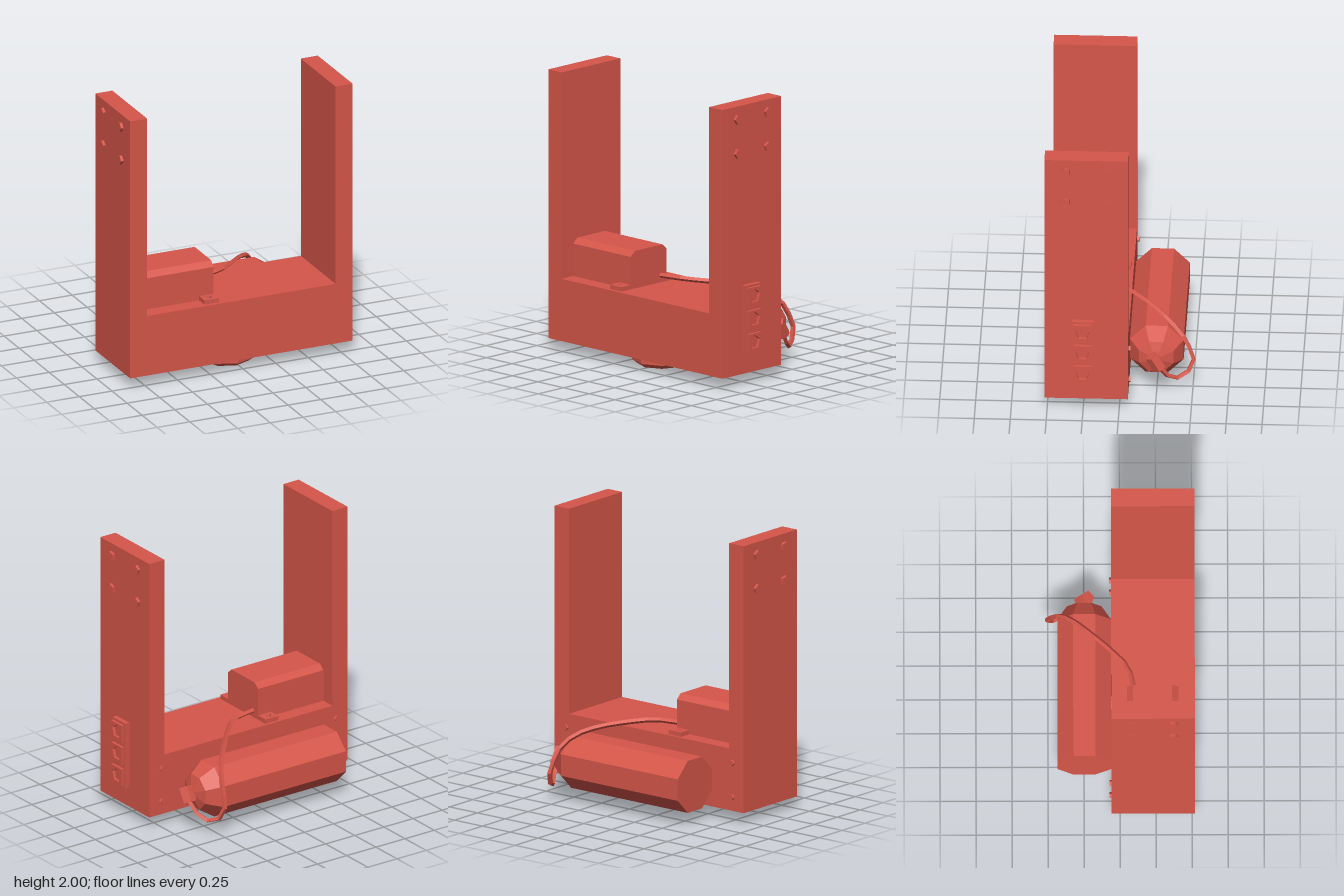
import * as THREE from 'three';

const red = new THREE.MeshStandardMaterial({ color: 0xd6564a });
red.name = 'red';

// Faceted normals for low-poly shapes
function flat(geometry) {
  const g = geometry.index ? geometry.toNonIndexed() : geometry;
  g.computeVertexNormals();
  return g;
}

export function createModel() {
  const model = new THREE.Group();
  model.name = 'bracketUnit';

  function add(name, geometry, x = 0, y = 0, z = 0) {
    const mesh = new THREE.Mesh(flat(geometry), red);
    mesh.name = name;
    mesh.position.set(x, y, z);
    model.add(mesh);
    return mesh;
  }

  // Small prism with its axis along x, y or z
  function stud(name, sides, radius, length, axis, x, y, z, start = 0) {
    const g = new THREE.CylinderGeometry(radius, radius, length, sides, 1, false, start);
    if (axis === 'x') g.rotateZ(-Math.PI / 2);
    if (axis === 'z') g.rotateX(Math.PI / 2);
    return add(name, g, x, y, z);
  }

  // U-shaped frame
  const outline = [[-0.87, 0.08], [0.83, 0.08], [0.83, 2], [0.7, 2],
    [0.7, 0.525], [-0.74, 0.525], [-0.74, 2], [-0.87, 2]];
  const frame = new THREE.Shape(outline.map(([x, y]) => new THREE.Vector2(x, y)));
  add('frame', new THREE.ExtrudeGeometry(frame, { depth: 0.58, bevelEnabled: false }), 0, 0, -0.06);

  // Pentagonal bolts near the tops of both arms
  for (const x of [-0.87, 0.83])
    for (const y of [1.665, 1.91]) {
      stud('armBolt', 5, 0.035, 0.04, 'x', x, y, 0.375);
      stud('armBolt', 5, 0.035, 0.04, 'x', x, y, 0.08, -Math.PI / 2);
    }

  // Small screws on the back
  for (const x of [-0.77, 0.725])
    for (const y of [0.18, 0.425]) stud('backScrew', 4, 0.023, 0.03, 'z', x, y, -0.06);

  // Socket strip on the left side, each socket with a pentagonal recess
  add('socketPlate', new THREE.BoxGeometry(0.04, 0.49, 0.15), 0.845, 0.47, 0.253);
  for (const y of [0.305, 0.47, 0.635]) {
    const s = new THREE.Shape([[-1, -1], [1, -1], [1, 1], [-1, 1]]
      .map(([a, b]) => new THREE.Vector2(a * 0.063, b * 0.064)));
    const hole = [];
    for (let i = 0; i < 5; i++) {
      const a = Math.PI / 2 - i * Math.PI * 0.4;
      hole.push(new THREE.Vector2(Math.cos(a) * 0.05, Math.sin(a) * 0.05));
    }
    s.holes.push(new THREE.Path(hole));
    const g = new THREE.ExtrudeGeometry(s, { depth: 0.022, bevelEnabled: false });
    add('socket', g.rotateY(Math.PI / 2), 0.864, y, 0.253);
  }

  // Octagonal foot with a bevelled lower edge
  const foot = [[0, 0], [0.165, 0], [0.205, 0.03], [0.205, 0.085]]
    .map(([r, y]) => new THREE.Vector2(r, y));
  add('foot', new THREE.LatheGeometry(foot, 8), -0.02, 0, 0.26);

  // Motor housing with chamfered top edges, running along x
  const housing = new THREE.Shape([[-0.405, 0.52], [-0.048, 0.52], [-0.048, 0.757],
    [-0.09, 0.793], [-0.363, 0.793], [-0.405, 0.757]].map(([z, y]) => new THREE.Vector2(z, y)));
  add('motorHousing', new THREE.ExtrudeGeometry(housing, { depth: 0.56, bevelEnabled: false })
    .rotateY(Math.PI / 2), -0.74, 0, 0);

  // Mounting tabs and their screws
  for (const z of [0.005, 0.449]) {
    add('mountTab', new THREE.BoxGeometry(0.11, 0.04, 0.092), -0.235, 0.537, z);
    stud('tabScrew', 4, 0.022, 0.02, 'y', -0.237, 0.558, z);
  }

  // Octagonal tank lying behind the frame
  const tank = [[0, -0.585], [0.202, -0.585], [0.202, 0.465], [0.13, 0.572], [0.035, 0.6], [0, 0.6]]
    .map(([r, y]) => new THREE.Vector2(r, y));
  add('tank', new THREE.LatheGeometry(tank, 8, Math.PI / 8).rotateZ(-Math.PI / 2), 0, 0.275, -0.247);

  // Tilted valve at the tank's end
  const valve = stud('valve', 5, 0.049, 0.115, 'y', 0.64, 0.272, -0.247, Math.PI / 2);
  valve.rotation.x = Math.PI / 6;

  // Hose from the motor around the tank to the valve
  const path = new THREE.CatmullRomCurve3([
    [-0.2, 0.575, 0.11], [0.02, 0.575, 0.06], [0.16, 0.56, -0.06], [0.31, 0.53, -0.22],
    [0.42, 0.475, -0.34], [0.475, 0.4, -0.425], [0.495, 0.31, -0.475], [0.51, 0.21, -0.505],
    [0.535, 0.13, -0.46], [0.57, 0.11, -0.4], [0.61, 0.14, -0.34], [0.64, 0.23, -0.275],
  ].map(p => new THREE.Vector3(...p)));
  add('hose', new THREE.TubeGeometry(path, 16, 0.018, 4));

  return model;
}
